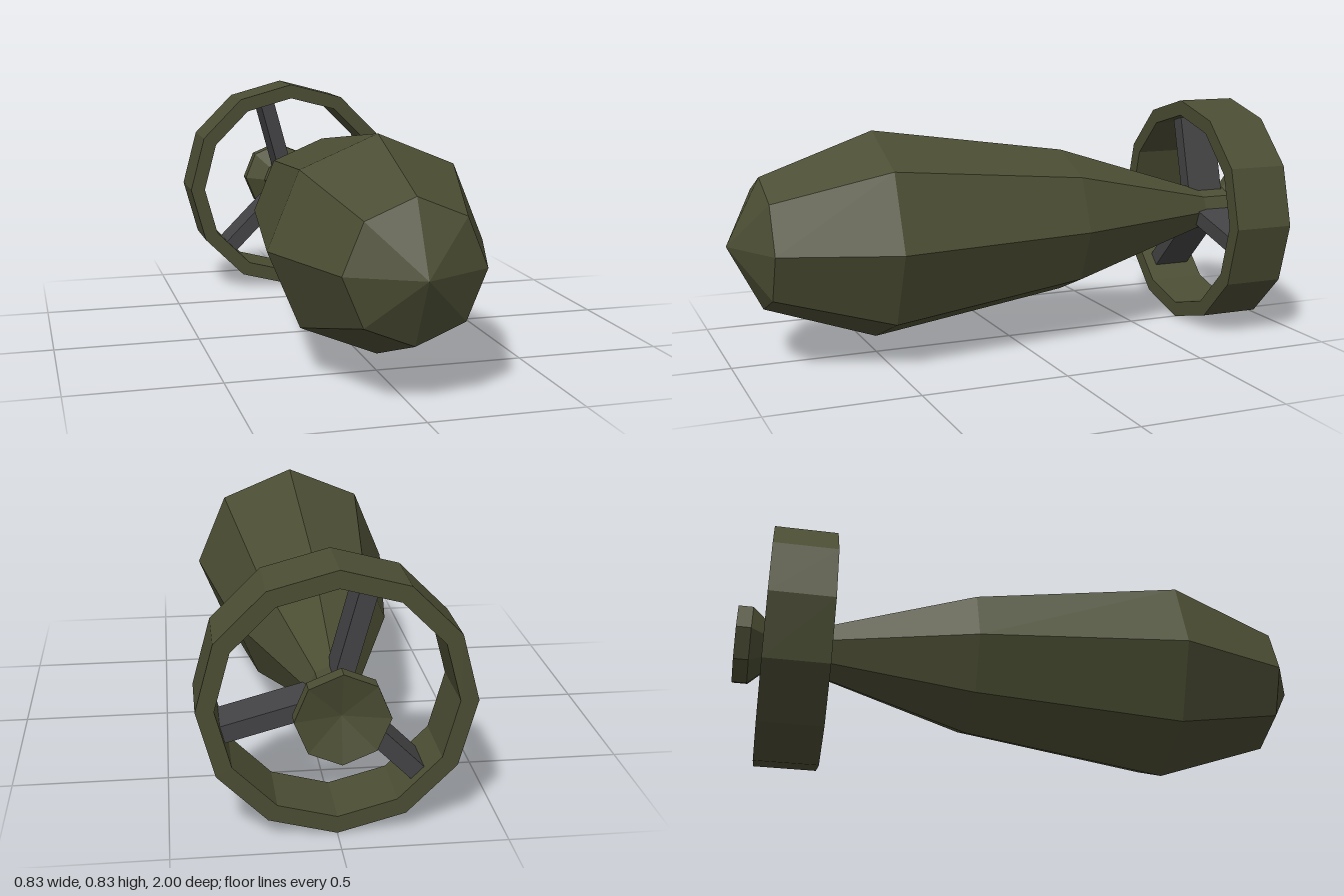
import * as THREE from 'three';

const CENTRE_Y = 0.416;

// Faceted solid of revolution about the z axis; profile is [radius, z], tail to nose
function turned(name, profile, sides, material) {
  const points = profile.map(([r, z]) => new THREE.Vector2(r, z));
  const geometry = new THREE.LatheGeometry(points, sides).rotateX(Math.PI / 2);
  const mesh = new THREE.Mesh(geometry, material);
  mesh.name = name;
  return mesh;
}

export function createModel() {
  const model = new THREE.Group();
  model.name = 'finnedShell';
  const olive = new THREE.MeshStandardMaterial({ color: 0x4b4d33, flatShading: true });
  const grey = new THREE.MeshStandardMaterial({ color: 0x434345, flatShading: true });

  const assembly = new THREE.Group();
  assembly.name = 'assembly';
  assembly.position.y = CENTRE_Y;
  model.add(assembly);

  // Eight-sided body with pointed nose, thin neck and flared, slightly hollow tail
  assembly.add(turned('body', [
    [0, -0.965], [0.14, -1], [0.14, -0.95], [0.075, -0.88], [0.075, -0.77],
    [0.256, -0.2], [0.358, 0.5], [0.223, 0.885], [0, 1],
  ], 8, olive));

  // Twelve-sided tail ring
  assembly.add(turned('tailRing', [
    [0.414, -0.905], [0.414, -0.69], [0.359, -0.69], [0.359, -0.905], [0.414, -0.905],
  ], 12, olive));

  // Three struts from neck to ring
  for (let i = 0; i < 3; i++) {
    const strut = new THREE.Mesh(
      new THREE.BoxGeometry(0.33, 0.055, 0.14).translate(0.205, 0, -0.8), grey);
    strut.rotation.z = THREE.MathUtils.degToRad(105 + i * 120);
    strut.name = 'strut' + (i + 1);
    assembly.add(strut);
  }
  return model;
}
